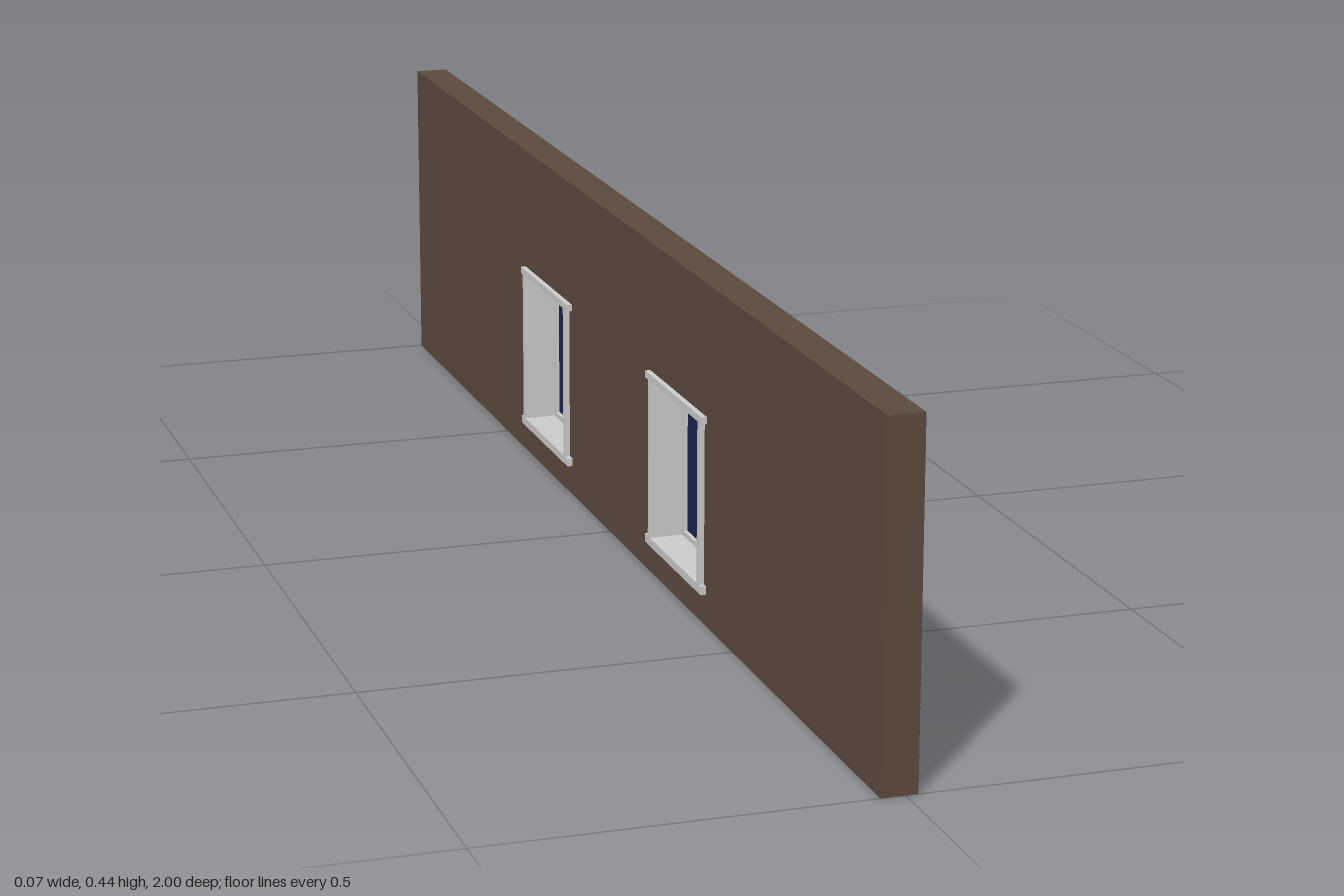
import * as THREE from 'three';

const grey = new THREE.MeshStandardMaterial({ color: 0xcccccc });
const wallMat = new THREE.MeshStandardMaterial({ color: 0x5c4a3d });
const glassMat = new THREE.MeshStandardMaterial({ color: 0x1c2450 });

// Box given by its limits on each axis
function block(name, [x0, x1], [y0, y1], [z0, z1], material = grey) {
  const mesh = new THREE.Mesh(new THREE.BoxGeometry(x1 - x0, y1 - y0, Math.abs(z1 - z0)), material);
  mesh.position.set((x0 + x1) / 2, (y0 + y1) / 2, (z0 + z1) / 2);
  mesh.name = name;
  return mesh;
}

// Wall slab with two window openings, drawn in the z-y plane
function makeWall() {
  const rect = (path, a, b, c, d) =>
    path.moveTo(a, c).lineTo(b, c).lineTo(b, d).lineTo(a, d).closePath();
  const shape = rect(new THREE.Shape(), -1, 1, 0, 0.438);
  for (const [a, b] of [[0.188, 0.39], [-0.39, -0.188]]) {
    shape.holes.push(rect(new THREE.Path(), a, b, 0.046, 0.266));
  }
  const geometry = new THREE.ExtrudeGeometry(shape, { depth: 0.045, bevelEnabled: false });
  geometry.rotateY(-Math.PI / 2).translate(0.015, 0, 0);
  const wall = new THREE.Mesh(geometry, wallMat);
  wall.name = 'wall';
  return wall;
}

// One window; side mirrors it along z
function makeWindow(side) {
  const g = new THREE.Group();
  g.name = side > 0 ? 'frontWindow' : 'backWindow';
  const z = (a, b) => [side * a, side * b];
  const cap = [-0.037, 0.037], jamb = [-0.037, 0.029], sash = [0.007, 0.021];

  // Sill, head and jambs line the opening through the wall
  g.add(block('sill', cap, [0.041, 0.052], z(0.174, 0.4)));
  g.add(block('head', cap, [0.261, 0.27], z(0.174, 0.4)));
  g.add(block('innerJamb', jamb, [0.052, 0.261], z(0.186, 0.194)));
  g.add(block('outerJamb', jamb, [0.052, 0.261], z(0.384, 0.392)));

  // Sash around the panes, with an off-centre mullion
  g.add(block('bottomRail', sash, [0.052, 0.059], z(0.194, 0.384)));
  g.add(block('topRail', sash, [0.254, 0.261], z(0.194, 0.384)));
  for (const [name, a, b] of [['innerStile', 0.194, 0.2], ['mullion', 0.263, 0.277], ['outerStile', 0.378, 0.384]]) {
    g.add(block(name, sash, [0.059, 0.254], z(a, b)));
  }
  g.add(block('narrowPane', [0.012, 0.016], [0.059, 0.254], z(0.2, 0.263), glassMat));
  g.add(block('widePane', [0.012, 0.016], [0.059, 0.254], z(0.277, 0.378), glassMat));
  return g;
}

export function createModel() {
  const model = new THREE.Group();
  model.name = 'wallWithWindows';
  model.add(makeWall(), makeWindow(1), makeWindow(-1));
  return model;
}
